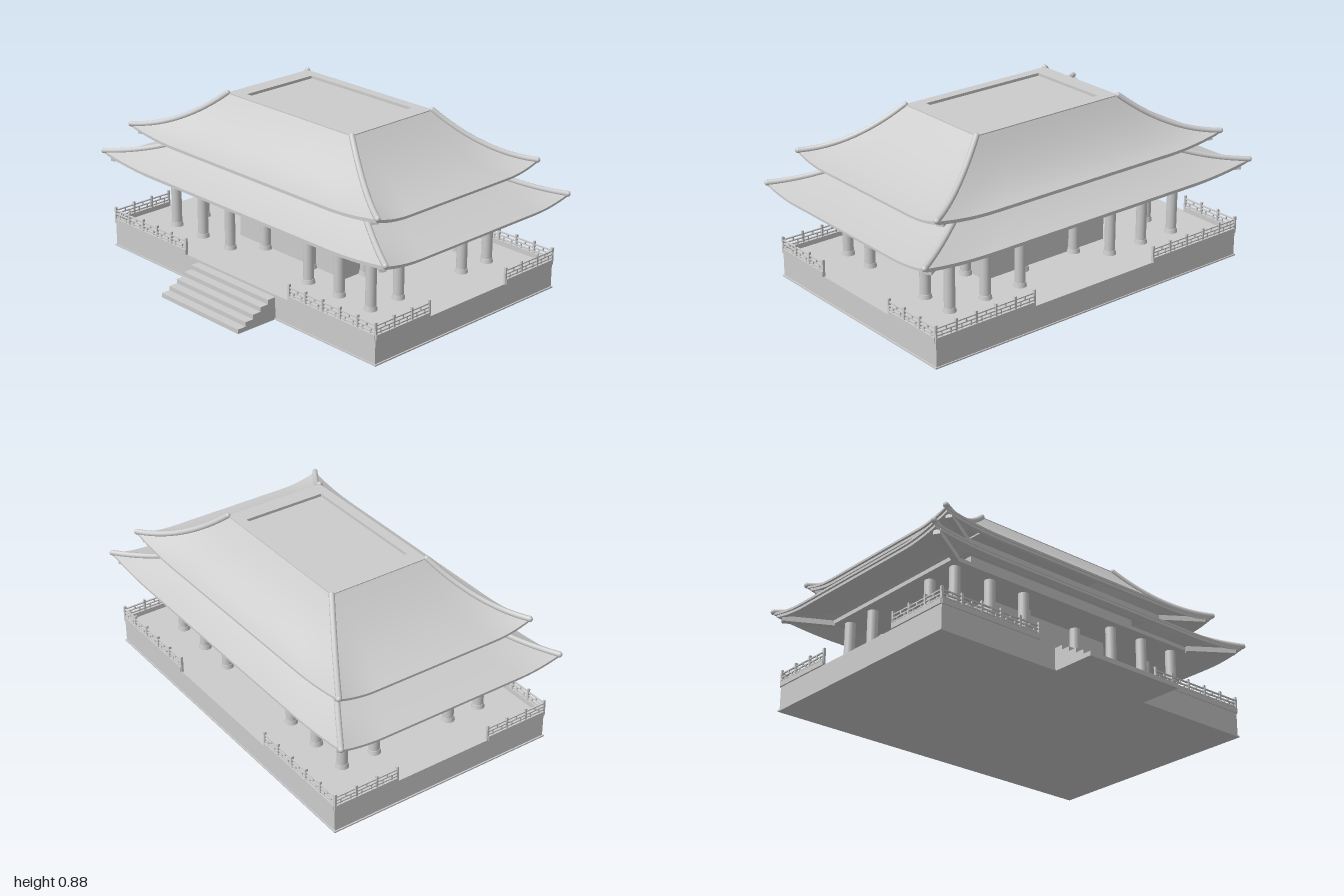
import * as THREE from 'three';

const CZ = -0.105;      // centre of the hall in z
const ASPECT = 0.62;    // roof depth / width
const mat = new THREE.MeshStandardMaterial({ color: 0xcccccc });
const thin = new THREE.MeshStandardMaterial({ color: 0xcccccc, side: THREE.DoubleSide });

function add(parent, name, geo, x = 0, y = 0, z = 0, m = mat) {
  const mesh = new THREE.Mesh(geo, m);
  mesh.name = name;
  mesh.position.set(x, y, z);
  parent.add(mesh);
  return mesh;
}

// box given by its centre in x, z and its bottom and top height
function box(parent, name, w, y0, y1, d, x = 0, z = 0) {
  return add(parent, name, new THREE.BoxGeometry(w, y1 - y0, d), x, (y0 + y1) / 2, z);
}

// One hipped roof tier with concave slopes and upturned corners
function roofTier(name, { inner, outer, height, lift, eave }) {
  const g = new THREE.Group();
  g.name = name;
  const halfX = t => inner + (outer - inner) * t;
  const yAt = (u, t) => {
    const s = Math.max(0, (Math.abs(u) - 0.62) / 0.38);
    return height(t) + lift * s * s * t * t;
  };
  // strip of roof on side k; rows are [t, vertical offset], top to bottom
  const band = (part, k, rows) => {
    const nu = 40;
    const geo = new THREE.PlaneGeometry(1, 1, nu, rows.length - 1);
    const p = geo.attributes.position;
    rows.forEach(([t, dy], r) => {
      const hx = halfX(t), hz = hx * ASPECT;
      const [a, b] = k % 2 ? [hz, hx] : [hx, hz];
      for (let i = 0; i <= nu; i++) {
        const u = (i / nu) * 2 - 1;
        let x = u * a, z = b;
        for (let q = 0; q < k; q++) [x, z] = [z, -x];
        p.setXYZ(r * (nu + 1) + i, x, yAt(u, t) + dy, z);
      }
    });
    geo.computeVertexNormals();
    add(g, part, geo, 0, 0, 0, thin);
  };
  const slope = Array.from({ length: 13 }, (_, i) => [i / 12, 0]);
  for (let k = 0; k < 4; k++) {
    band('roofSlope', k, slope);
    band('eaveEdge', k, [[1, 0], [1, -0.011]]);
    band('eaveStep', k, [[1, -0.011], [0.965, -0.011]]);
    band('eaveFascia', k, [[0.965, -0.011], [0.965, -0.024]]);
    band('roofUnderside', k, slope.map(([t]) => [0.965 * (1 - t), -0.024]));
  }
  // hip ridges and the corner beams below them
  for (const sx of [-1, 1]) for (const sz of [-1, 1]) {
    const pts = slope.map(([t]) => new THREE.Vector3(
      sx * halfX(t), yAt(1, t) + 0.003, sz * halfX(t) * ASPECT));
    const curve = new THREE.CatmullRomCurve3(pts);
    add(g, 'hipRidge', new THREE.TubeGeometry(curve, 24, 0.014, 10), 0, 0, 0, thin);
    for (const end of [0, 12])
      add(g, 'ridgeEnd', new THREE.SphereGeometry(0.014, 10, 8), ...pts[end].toArray());
    const tip = new THREE.Vector3(sx * (outer - 0.035), eave + 0.005, sz * (outer - 0.035) * ASPECT);
    const root = new THREE.Vector3(sx * (outer - 0.25), eave - 0.002, sz * (outer - 0.25) * ASPECT);
    const beam = add(g, 'cornerBeam', new THREE.BoxGeometry(0.032, 0.026, tip.distanceTo(root)));
    beam.position.copy(tip).add(root).multiplyScalar(0.5);
    beam.lookAt(tip);
  }
  return g;
}

// Straight run of railing along +x, starting at the origin
function railing(length, bays) {
  const g = new THREE.Group();
  g.name = 'railing';
  const bay = length / bays;
  box(g, 'curb', length, 0, 0.025, 0.018, length / 2);
  for (const y of [0.033, 0.05, 0.068])
    box(g, 'rail', length, y - 0.003, y + 0.003, 0.008, length / 2);
  for (let i = 0; i <= bays; i++) {
    box(g, 'post', 0.01, 0, 0.085, 0.012, i * bay);
    if (i === bays) break;
    box(g, 'upperBaluster', 0.006, 0.05, 0.068, 0.007, (i + 0.5) * bay);
    for (const f of [0.27, 0.73])
      box(g, 'lowerBaluster', 0.006, 0.025, 0.05, 0.007, (i + f) * bay);
  }
  return g;
}

function column(parent, x, z) {
  add(parent, 'column', new THREE.CylinderGeometry(0.026, 0.026, 0.345, 20), x, 0.2975, z);
  add(parent, 'columnBase', new THREE.CylinderGeometry(0.028, 0.032, 0.022, 20), x, 0.136, z);
}

export function createModel() {
  const model = new THREE.Group();
  model.name = 'hall';
  const hall = new THREE.Group();
  hall.name = 'building';
  hall.position.z = CZ;
  model.add(hall);

  // platform
  box(hall, 'platform', 1.85, 0, 0.125, 1.205);
  box(hall, 'platformFoot', 1.864, 0, 0.007, 1.216);

  // front stairs
  for (let i = 0; i < 5; i++) {
    const depth = 0.23 - i * 0.046;
    box(model, 'step', 0.55, i * 0.0225, (i + 1) * 0.0225, depth, 0, 0.497 + depth / 2);
  }

  // railings around each platform corner
  for (const sx of [-1, 1]) for (const sz of [-1, 1]) {
    const corner = new THREE.Group();
    corner.name = 'cornerRailing';
    corner.position.set(sx * 0.924, 0.125, sz * 0.6);
    const along = railing(0.555, 5);
    along.rotation.y = sx > 0 ? Math.PI : 0;
    const across = railing(0.34, 3);
    across.rotation.y = sz * Math.PI / 2;
    corner.add(along, across);
    hall.add(corner);
  }

  // hall walls and the storey between the roofs
  box(hall, 'walls', 0.74, 0.125, 0.47, 0.5);
  box(hall, 'upperStorey', 1.04, 0.47, 0.63, 0.6);

  // outer and engaged columns
  for (const sx of [-1, 1]) for (const sz of [-1, 1]) {
    for (const x of [0.28, 0.485, 0.69]) column(hall, sx * x, sz * 0.395);
    column(hall, sx * 0.69, sz * 0.215);
    column(hall, sx * 0.16, sz * 0.27);
    column(hall, sx * 0.395, sz * 0.135);
  }

  // ceilings carrying the roofs
  box(hall, 'lowerCeiling', 1.5, 0.455, 0.475, 0.91);
  box(hall, 'upperCeiling', 1.3, 0.61, 0.63, 0.8);

  // roofs
  hall.add(roofTier('lowerRoof', {
    inner: 0.58, outer: 0.988, lift: 0.03, eave: 0.462,
    height: t => 0.612 - 0.198 * t + 0.054 * t * t,
  }));
  hall.add(roofTier('upperRoof', {
    inner: 0.43, outer: 0.86, lift: 0.034, eave: 0.622,
    height: t => 0.858 - 0.39 * t + 0.152 * t * t,
  }));

  // flat roof top with a sunken panel
  const rect = (s, w, d) => s.moveTo(-w, -d).lineTo(w, -d).lineTo(w, d).lineTo(-w, d).closePath();
  const top = rect(new THREE.Shape(), 0.43, 0.267);
  top.holes.push(rect(new THREE.Path(), 0.345, 0.215));
  const rim = new THREE.ExtrudeGeometry(top, { depth: 0.016, bevelEnabled: false });
  rim.rotateX(-Math.PI / 2);
  add(hall, 'roofTopRim', rim, 0, 0.846, 0);
  box(hall, 'roofTopPanel', 0.72, 0.838, 0.848, 0.46);

  return model;
}
